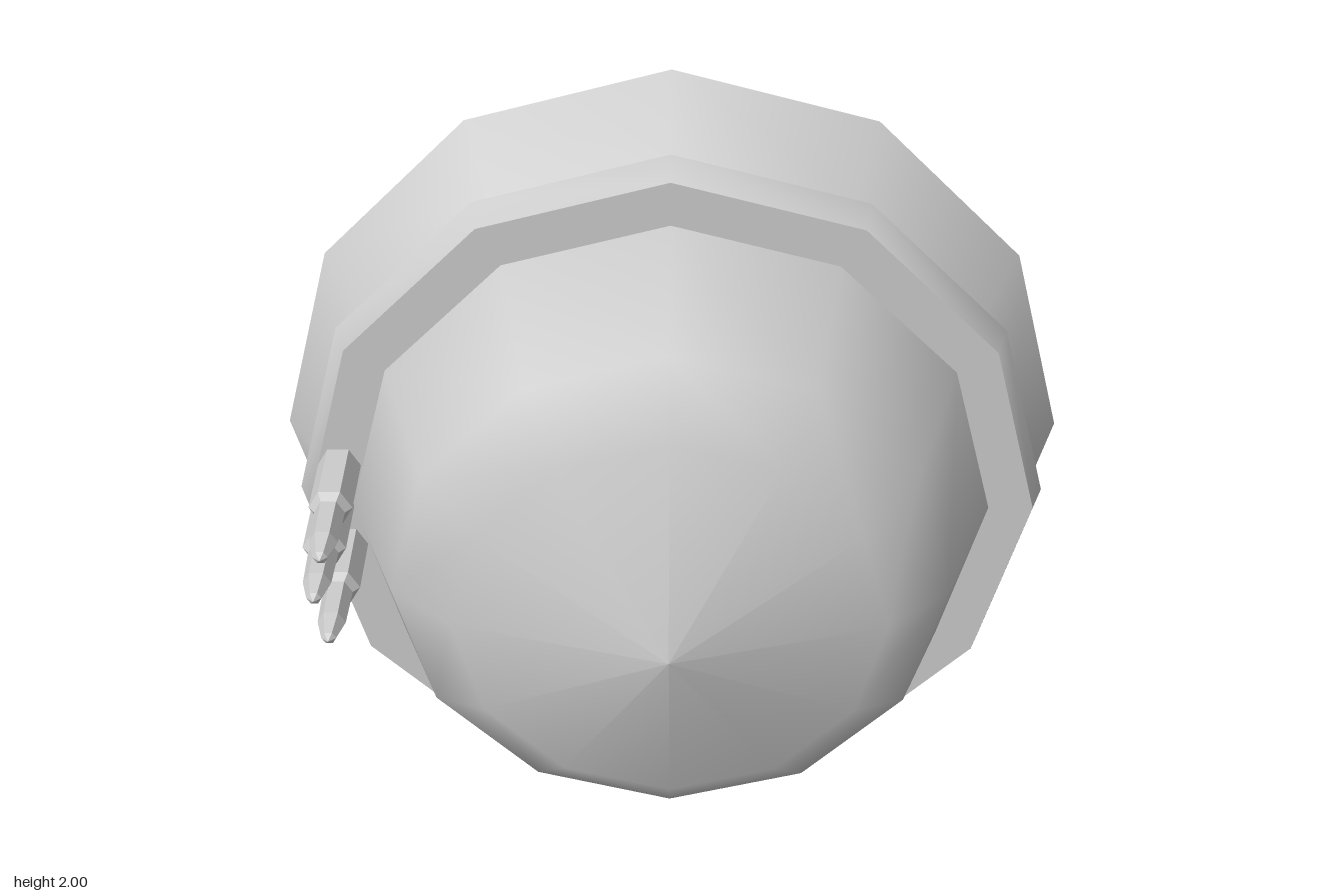
import * as THREE from 'three';
import { toCreasedNormals } from 'three/addons/utils/BufferGeometryUtils.js';

const CENTRE_Y = 1;
const smooth = new THREE.MeshStandardMaterial({ color: 0xcccccc });
const faceted = new THREE.MeshStandardMaterial({ color: 0xcccccc, flatShading: true });

// Revolves [radius, z] pairs (listed back to front for outward faces) around the z axis.
function turn(profile, sides, start = 0) {
  const points = profile.map(([r, z]) => new THREE.Vector2(r, z));
  return new THREE.LatheGeometry(points, sides, start).rotateX(Math.PI / 2);
}

function part(name, geometry, material, x = 0, y = CENTRE_Y) {
  const mesh = new THREE.Mesh(geometry, material);
  mesh.name = name;
  mesh.position.set(x, y, 0);
  return mesh;
}

export function createModel() {
  const model = new THREE.Group();
  model.name = 'helmet';
  const sides = 12;

  // Domed shell with a pointed crown
  const domeProfile = [[0.77, -0.2], [0.79, -0.12], [0.66, 0.23], [0.51, 0.36], [0, 0.5]];
  model.add(part('dome', turn(domeProfile, sides), smooth));

  // Flared brim outside
  const brimProfile = [[1, -0.5], [0.875, -0.3], [0.77, -0.2]];
  model.add(part('brim', turn(brimProfile, sides), smooth));

  // Flat rim and hollow conical inside, both facing back
  model.add(part('rim', turn([[0.89, -0.5], [1, -0.5]], sides), faceted));
  model.add(part('hollow', turn([[0, -0.12], [0.89, -0.5]], sides), faceted));

  // Band around the shell
  const bandProfile = [[0.75, -0.2], [0.93, -0.2], [0.9, -0.12], [0.75, -0.12]];
  const bandGeometry = toCreasedNormals(turn(bandProfile, sides), THREE.MathUtils.degToRad(40));
  model.add(part('band', bandGeometry, smooth));

  // Three cartridges tucked under the band
  const cartridgeProfile = [
    [0, -0.3], [0.053, -0.3], [0.053, 0.06], [0.037, 0.08],
    [0.034, 0.2], [0.018, 0.26], [0, 0.275],
  ];
  const cartridgeGeometry = turn(cartridgeProfile, 6, Math.PI / 2);
  const cartridges = new THREE.Group();
  cartridges.name = 'cartridges';
  for (const step of [-1, 0, 1]) {
    const x = -0.84 + 0.025 * Math.abs(step);
    cartridges.add(part('cartridge', cartridgeGeometry, faceted, x, CENTRE_Y + 0.12 * step));
  }
  model.add(cartridges);

  return model;
}
